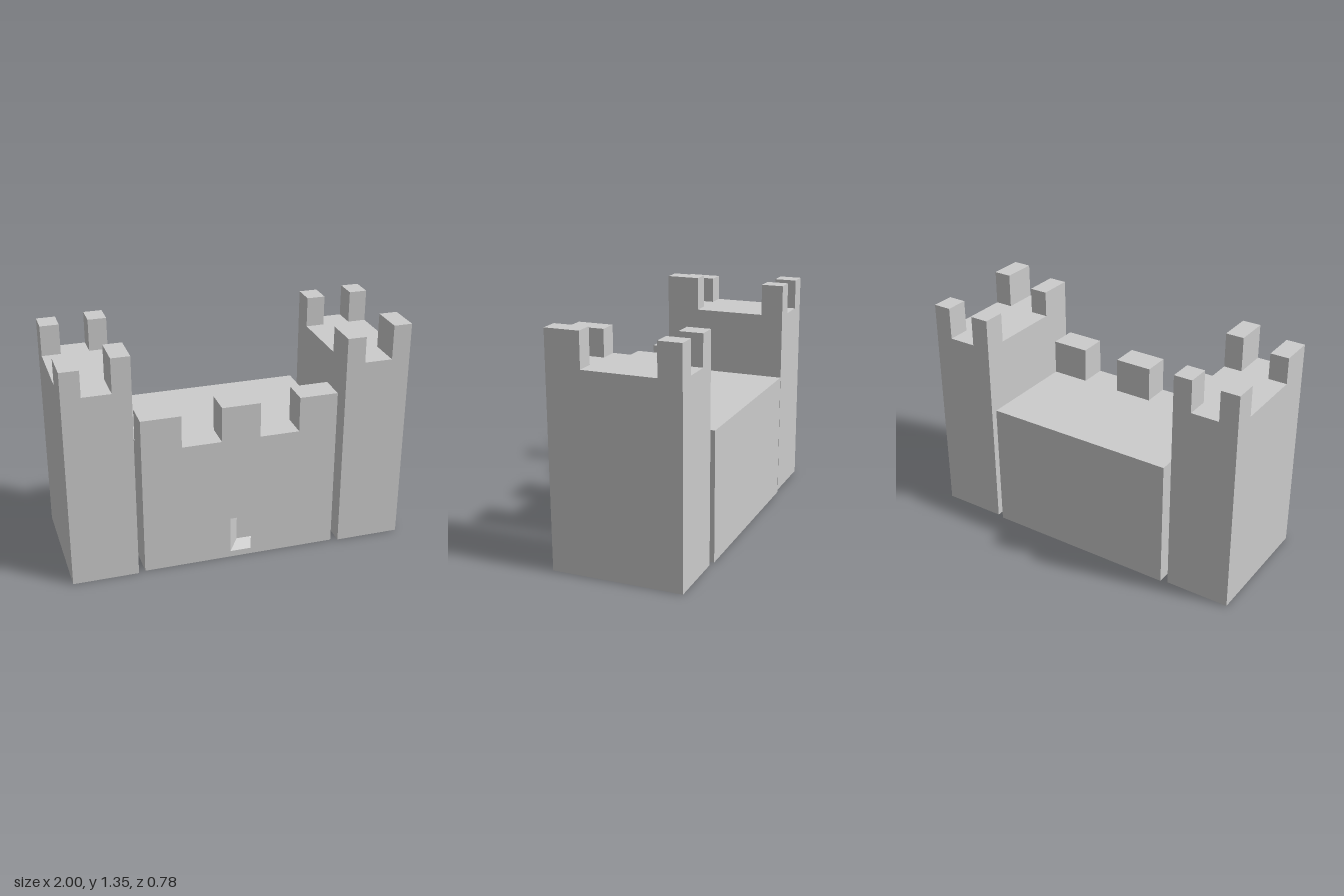
import * as THREE from 'three';

const material = new THREE.MeshStandardMaterial({ color: 0xcccccc, flatShading: true });

// Box given by its lower and upper limits on each axis
function block(name, [x0, x1], [y0, y1], [z0, z1]) {
  const geometry = new THREE.BoxGeometry(x1 - x0, y1 - y0, z1 - z0);
  geometry.translate((x0 + x1) / 2, (y0 + y1) / 2, (z0 + z1) / 2);
  const mesh = new THREE.Mesh(geometry, material);
  mesh.name = name;
  return mesh;
}

// Tower with four corner merlons of slightly different heights
function tower(name, x) {
  const group = new THREE.Group();
  group.name = name;
  const roof = 1.15, front = [0.185, 0.387], back = [-0.378, -0.243];
  const outer = [0, 0.11], inner = [0.275, 0.383];
  group.add(
    block('towerBody', [0, 0.383], [0, roof], [-0.378, 0.387]),
    block('towerMerlon', outer, [roof, 1.305], front),
    block('towerMerlon', inner, [roof, 1.353], front),
    block('towerMerlon', outer, [roof, 1.33], back),
    block('towerMerlon', inner, [roof, 1.34], back),
  );
  group.position.x = x;
  return group;
}

// Front layer of the wall, pierced by a doorway that slants as it goes in
function doorwayLayer([x0, x1], [y0, y1], zFront, depth) {
  const rect = (T, a, b, c, d) => {
    const path = new T();
    path.moveTo(a, c);
    path.lineTo(b, c);
    path.lineTo(b, d);
    path.lineTo(a, d);
    path.closePath();
    return path;
  };
  const shape = rect(THREE.Shape, x0, x1, y0, y1);
  shape.holes.push(rect(THREE.Path, -0.06, 0.065, 0.037, 0.26));
  const geometry = new THREE.ExtrudeGeometry(shape, { depth, bevelEnabled: false });
  // Shift the far end of the opening sideways and up
  const p = geometry.attributes.position;
  for (let i = 0; i < p.count; i++) {
    const inHole = Math.abs(p.getX(i)) < 0.1 && p.getY(i) > 0.01 && p.getY(i) < 0.3;
    if (inHole && p.getZ(i) < depth / 2) p.setXY(i, p.getX(i) + 0.06, p.getY(i) + 0.036);
  }
  geometry.translate(0, 0, zFront - depth);
  geometry.computeVertexNormals();
  const mesh = new THREE.Mesh(geometry, material);
  mesh.name = 'doorwayWall';
  return mesh;
}

export function createModel() {
  const castle = new THREE.Group();
  castle.name = 'castle';

  // Both towers share one layout
  castle.add(tower('rightTower', -1), tower('leftTower', 0.617));

  // Central gatehouse
  const gatehouse = new THREE.Group();
  gatehouse.name = 'gatehouse';
  const width = [-0.577, 0.575], roof = 0.768, zFront = 0.375, depth = 0.07;
  gatehouse.add(
    block('gatehouseBody', width, [0, roof], [-0.389, zFront - depth]),
    doorwayLayer(width, [0, roof], zFront, depth),
  );

  // Merlons along the front edge
  for (const [x0, x1, top] of [[-0.577, -0.345, 0.96], [-0.112, 0.115, 0.977], [0.348, 0.575, 0.977]]) {
    gatehouse.add(block('gatehouseMerlon', [x0, x1], [roof, top], [0.212, zFront]));
  }
  castle.add(gatehouse);
  return castle;
}
